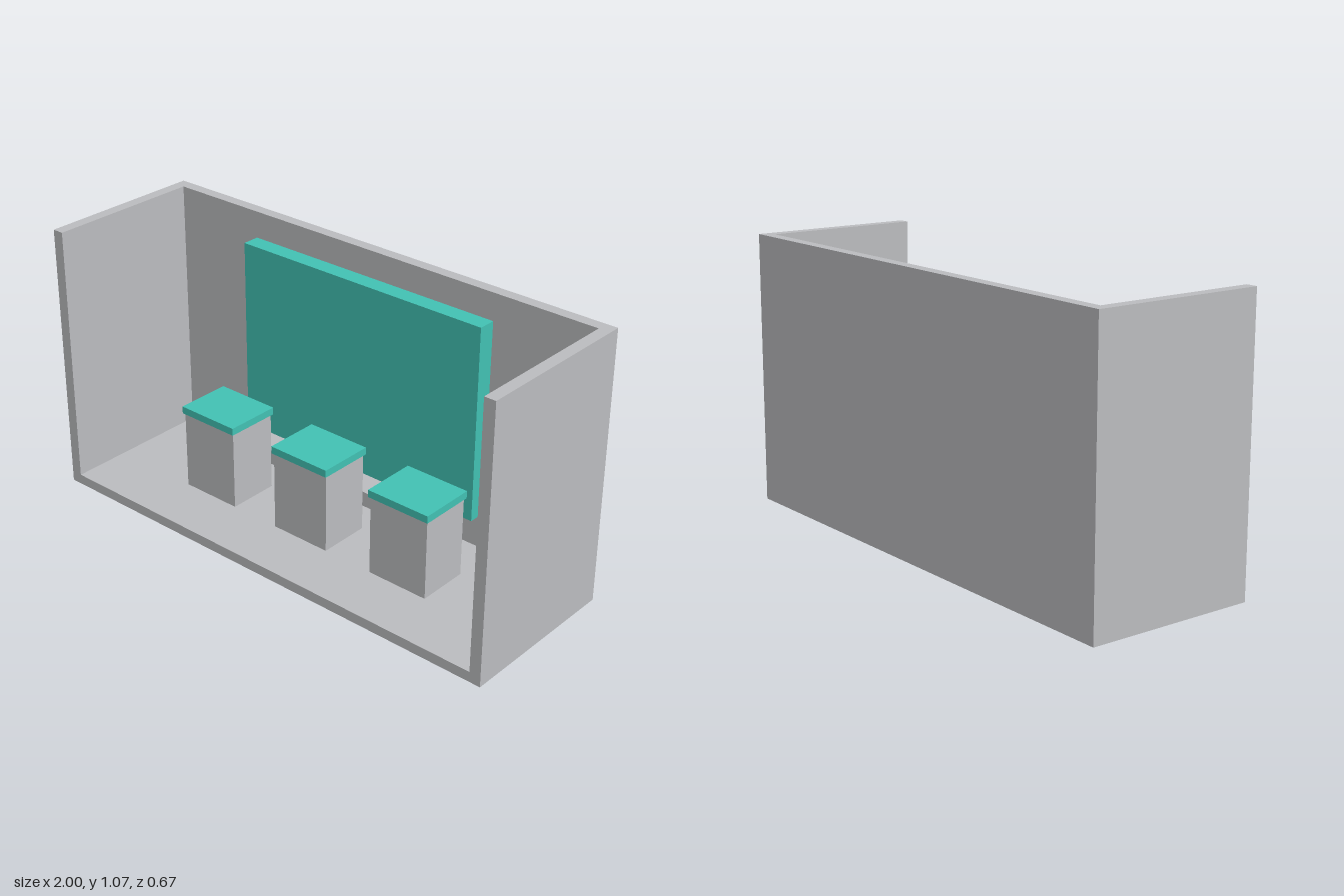
import * as THREE from 'three';

export function createModel() {
  const model = new THREE.Group();
  model.name = 'displayBooth';

  const grey = new THREE.MeshStandardMaterial({ color: 0xbbbcbf });
  grey.name = 'light grey';
  const teal = new THREE.MeshStandardMaterial({ color: 0x42c1b3 });
  teal.name = 'teal';

  // Box given by its lower and upper limits on each axis
  function box(name, material, [x0, x1], [y0, y1], [z0, z1], parent = model) {
    const mesh = new THREE.Mesh(new THREE.BoxGeometry(x1 - x0, y1 - y0, z1 - z0), material);
    mesh.position.set((x0 + x1) / 2, (y0 + y1) / 2, (z0 + z1) / 2);
    mesh.name = name;
    parent.add(mesh);
  }

  // Shell: floor, back wall and two side walls, open at the front and top
  const W = 1, H = 1.067, D = 0.333, wall = 0.045, floor = 0.04;
  box('floor', grey, [-W, W], [0, floor], [-D, D]);
  box('backWall', grey, [-W + wall, W - wall], [floor, H], [-D, -D + wall]);
  box('rightWall', grey, [-W, -W + wall], [floor, H], [-D, D]);
  box('leftWall', grey, [W - wall, W], [floor, H], [-D, D]);

  // Backdrop panel standing on a low shelf
  box('backdropPanel', teal, [-0.55, 0.55], [0.2, 0.97], [-0.273, -0.204]);
  box('shelf', grey, [-0.445, 0.445], [0.14, 0.2], [-0.27, -0.102]);

  // Three pedestals with overhanging caps
  for (const [i, x] of [-0.46, 0, 0.46].entries()) {
    const pedestal = new THREE.Group();
    pedestal.name = `pedestal${i + 1}`;
    pedestal.position.x = x;
    box('pedestalBase', grey, [-0.126, 0.126], [floor, 0.357], [-0.103, 0.103], pedestal);
    box('pedestalCap', teal, [-0.132, 0.132], [0.357, 0.386], [-0.111, 0.111], pedestal);
    model.add(pedestal);
  }
  return model;
}
